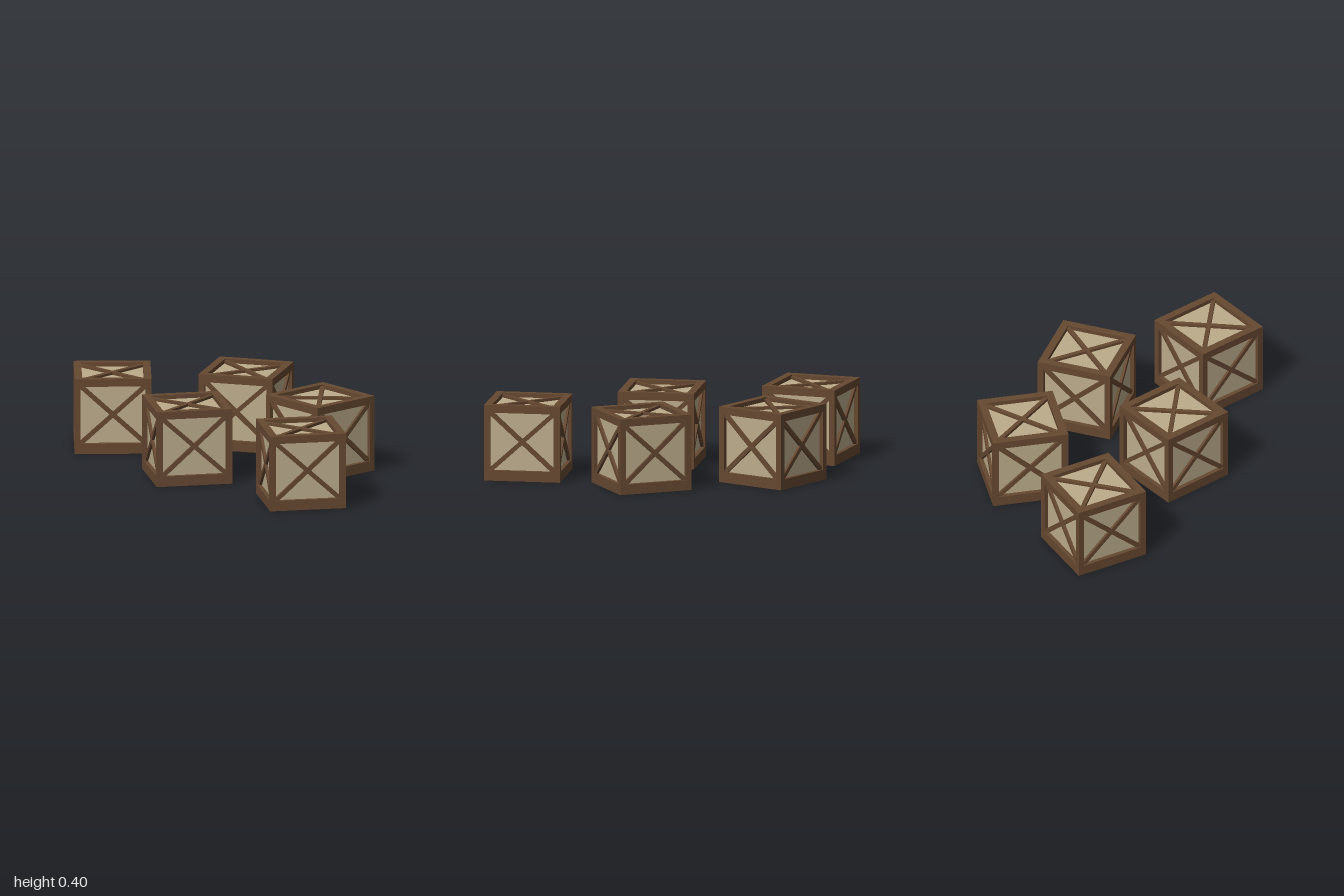
import * as THREE from 'three';

const SIZE = 0.4, HALF = SIZE / 2;
const POST = 0.032, TOP = 0.04, BASE = 0.055, RECESS = 0.022;

const wood = new THREE.MeshStandardMaterial({ color: 0x664831 });
const panel = new THREE.MeshStandardMaterial({ color: 0xbcac8c });

function box(parent, name, material, [w, h, d], [x, y, z]) {
  const mesh = new THREE.Mesh(new THREE.BoxGeometry(w, h, d), material);
  mesh.name = name;
  mesh.position.set(x, y, z);
  parent.add(mesh);
  return mesh;
}

// Two diagonal battens filling a w x h opening in the xy plane, facing +z
function crossBrace(w, h) {
  const brace = new THREE.Group();
  brace.name = 'crossBrace';
  const angle = Math.atan2(h, w);
  [1, -1].forEach((s, i) => {
    const batten = box(brace, 'batten', wood, [Math.hypot(w, h) + 0.01, 0.023, 0.016], [0, 0, i * 0.0004]);
    batten.rotation.z = s * angle;
  });
  return brace;
}

function createCrate() {
  const crate = new THREE.Group();

  // Recessed panels
  const inner = SIZE - 2 * RECESS, coreH = SIZE - RECESS - 0.002;
  box(crate, 'panels', panel, [inner, coreH, inner], [0, 0.002 + coreH / 2, 0]);

  // Plain floor board flush with the underside
  const floor = new THREE.Mesh(new THREE.PlaneGeometry(SIZE, SIZE), panel);
  floor.name = 'floor';
  floor.rotation.x = Math.PI / 2;
  crate.add(floor);

  // One post, two rails and a cross brace for each side
  const postH = SIZE - BASE - TOP;
  for (let i = 0; i < 4; i++) {
    const side = new THREE.Group();
    side.name = 'side';
    side.rotation.y = i * Math.PI / 2;
    box(side, 'cornerPost', wood, [POST, postH, POST], [HALF - POST / 2, BASE + postH / 2, HALF - POST / 2]);
    box(side, 'bottomRail', wood, [SIZE - POST, BASE - 0.001, POST], [POST / 2, (BASE + 0.001) / 2, HALF - POST / 2]);
    box(side, 'topRail', wood, [SIZE - TOP, TOP, TOP], [TOP / 2, SIZE - TOP / 2, HALF - TOP / 2]);
    const brace = crossBrace(SIZE - 2 * POST, postH);
    brace.position.set(0, BASE + postH / 2, HALF - RECESS + 0.006);
    side.add(brace);
    crate.add(side);
  }

  // Lid brace
  const lid = crossBrace(SIZE - 2 * TOP, SIZE - 2 * TOP);
  lid.name = 'lidBrace';
  lid.rotation.x = -Math.PI / 2;
  lid.position.y = SIZE - RECESS + 0.006;
  crate.add(lid);
  return crate;
}

export function createModel() {
  const model = new THREE.Group();
  model.name = 'crates';
  // x, z and turn in degrees of each crate
  const layout = [
    [-0.38, -0.738, -23.1],
    [0.272, -0.496, -40.3],
    [-0.302, 0.043, -13],
    [0.386, 0.194, 18.2],
    [0.024, 0.76, -13.4],
  ];
  layout.forEach(([x, z, turn], i) => {
    const crate = createCrate();
    crate.name = `crate${i + 1}`;
    crate.position.set(x, 0, z);
    crate.rotation.y = THREE.MathUtils.degToRad(turn);
    model.add(crate);
  });
  return model;
}
